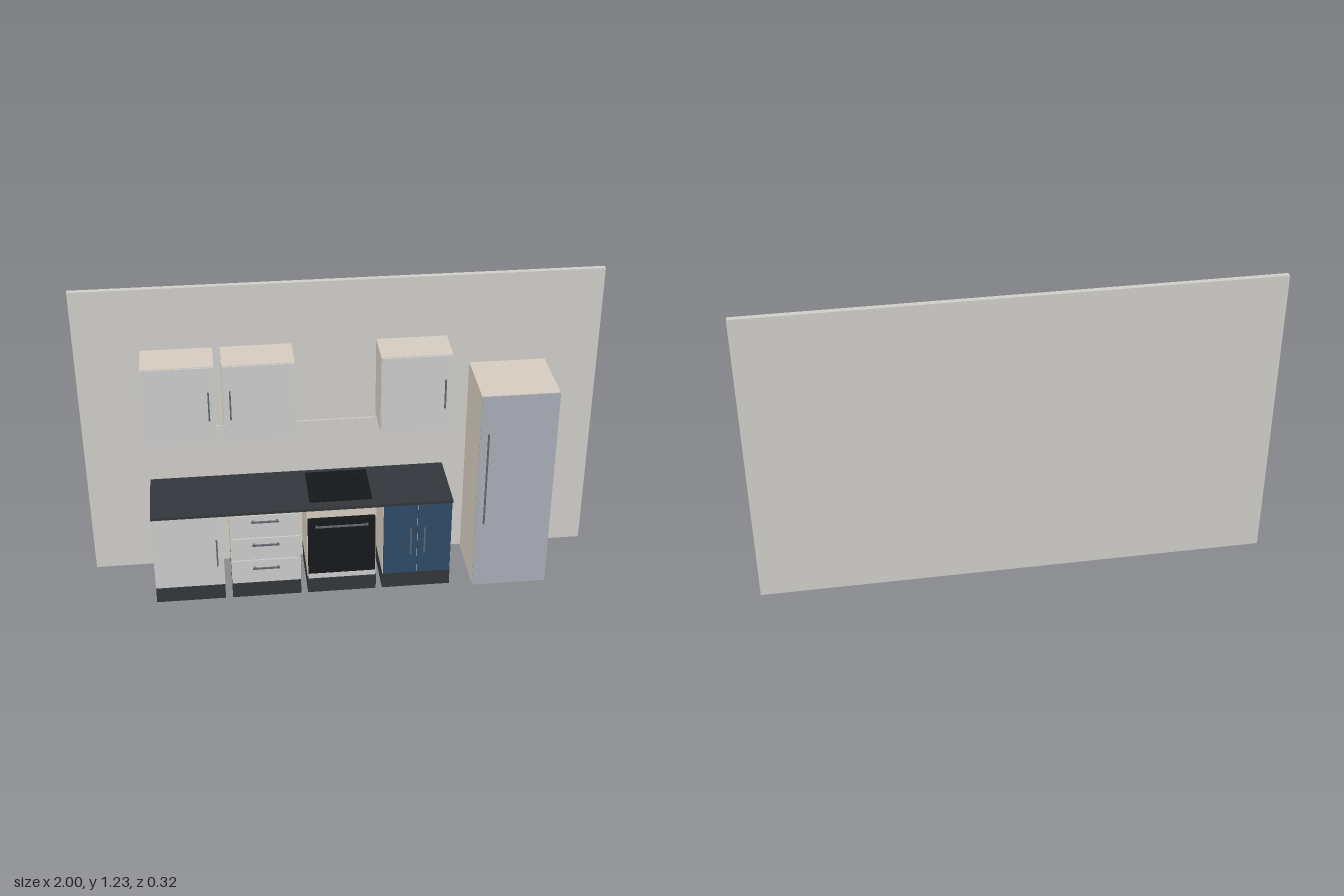
import * as THREE from 'three';

const mat = (color) => new THREE.MeshStandardMaterial({ color });
const WALL = mat(0xcfcdc8), BEIGE = mat(0xd6ccc0), WHITE = mat(0xd8d8d4), DARK = mat(0x33373b),
  BLACK = mat(0x15181b), BLUE = mat(0x2f4a68), STEEL = mat(0x60666c), FRIDGE = mat(0xa9adb8);

// Box given by its extents on each axis
function box(parent, name, material, x0, x1, y0, y1, z0, z1) {
  const m = new THREE.Mesh(new THREE.BoxGeometry(x1 - x0, y1 - y0, z1 - z0), material);
  m.position.set((x0 + x1) / 2, (y0 + y1) / 2, (z0 + z1) / 2);
  m.name = name;
  parent.add(m);
  return m;
}

function group(parent, name) {
  const g = new THREE.Group();
  g.name = name;
  parent.add(g);
  return g;
}

// Bar handle standing off a front at depth z, with two short posts
function handle(parent, x, y, length, z, vertical = true, out = 0.013) {
  const g = group(parent, 'handle');
  const h = length / 2, r = 0.003;
  box(g, 'handleBar', STEEL, -r, r, -h, h, out - 0.006, out);
  for (const s of [-1, 1]) {
    const p = s * (h - 0.006);
    box(g, 'handlePost', STEEL, -r, r, p - r, p + r, 0, out - 0.006);
  }
  if (!vertical) g.rotation.z = Math.PI / 2;
  g.position.set(x, y, z);
}

const WALL_Z = -0.137, FRONT = 0.137, CARCASS = 0.131;

// Carcass on a dark plinth
function baseCabinet(parent, name, x, depth = CARCASS) {
  const g = group(parent, name);
  box(g, 'plinth', DARK, x, x + 0.27, 0.004, 0.075, -0.124, 0.128);
  box(g, 'carcass', BEIGE, x, x + 0.27, 0.075, 0.4, WALL_Z, depth);
  return g;
}

function wallCabinet(parent, x, handleX) {
  const g = group(parent, 'wallCabinet');
  box(g, 'carcass', BEIGE, x, x + 0.27, 0.66, 0.98, WALL_Z, 0.015);
  box(g, 'door', WHITE, x + 0.002, x + 0.268, 0.663, 0.978, 0.016, 0.022);
  handle(g, handleX, 0.82, 0.12, 0.022);
}

export function createModel() {
  const model = new THREE.Group();
  model.name = 'kitchen';

  // Wall, splashback and worktop
  box(model, 'wall', WALL, -1, 1, 0, 1.23, -0.158, WALL_Z);
  box(model, 'splashback', WALL, -0.755, 0.405, 0.412, 0.64, WALL_Z, -0.131);
  box(model, 'worktop', DARK, -0.755, 0.405, 0.4, 0.412, WALL_Z, 0.142);

  // Wall cabinets
  wallCabinet(model, -0.755, -0.51);
  wallCabinet(model, -0.457, -0.43);
  wallCabinet(model, 0.135, 0.378);

  // Single-door base cabinet
  const single = baseCabinet(model, 'singleDoorCabinet', -0.755);
  box(single, 'door', WHITE, -0.753, -0.487, 0.078, 0.398, CARCASS, FRONT);
  handle(single, -0.51, 0.235, 0.12, FRONT);

  // Drawer cabinet
  const drawers = baseCabinet(model, 'drawerCabinet', -0.457);
  for (const [y0, y1, hy] of [[0.078, 0.183, 0.15], [0.187, 0.286, 0.26], [0.291, 0.392, 0.368]]) {
    box(drawers, 'drawerFront', WHITE, -0.453, -0.191, y0, y1, CARCASS, FRONT);
    handle(drawers, -0.322, hy, 0.105, FRONT, false);
  }

  // Oven housing with built-in oven
  const oven = baseCabinet(model, 'ovenCabinet', -0.16, 0.115);
  box(oven, 'lowerPanel', WHITE, -0.158, 0.108, 0.078, 0.1, 0.115, FRONT);
  box(oven, 'ovenBody', BLACK, -0.157, 0.105, 0.101, 0.35, 0.115, FRONT);
  handle(oven, -0.027, 0.327, 0.205, FRONT, false);

  // Two-door blue cabinet
  const blue = baseCabinet(model, 'doubleDoorCabinet', 0.135);
  for (const s of [-1, 1]) {
    const a = 0.27 + s * 0.001, b = 0.27 + s * 0.133;
    box(blue, 'door', BLUE, Math.min(a, b), Math.max(a, b), 0.078, 0.398, CARCASS, FRONT);
    handle(blue, 0.27 + s * 0.027, 0.235, 0.115, FRONT);
  }

  // Hob with four burners
  const hob = group(model, 'hob');
  box(hob, 'hobPlate', BLACK, -0.147, 0.096, 0.412, 0.416, -0.108, 0.1);
  for (const x of [-0.1, 0.05]) {
    for (const z of [-0.06, 0.055]) {
      const burner = new THREE.Mesh(new THREE.CylinderGeometry(0.024, 0.024, 0.005, 32), BLACK);
      burner.position.set(x, 0.4185, z);
      burner.name = 'burner';
      hob.add(burner);
    }
  }

  // Fridge
  const fridge = group(model, 'fridge');
  box(fridge, 'fridgeBody', BEIGE, 0.495, 0.79, 0, 0.865, -0.125, 0.143);
  box(fridge, 'fridgeDoor', FRIDGE, 0.495, 0.79, 0.002, 0.865, 0.143, 0.147);
  handle(fridge, 0.526, 0.503, 0.405, 0.147, true, 0.011);

  return model;
}
